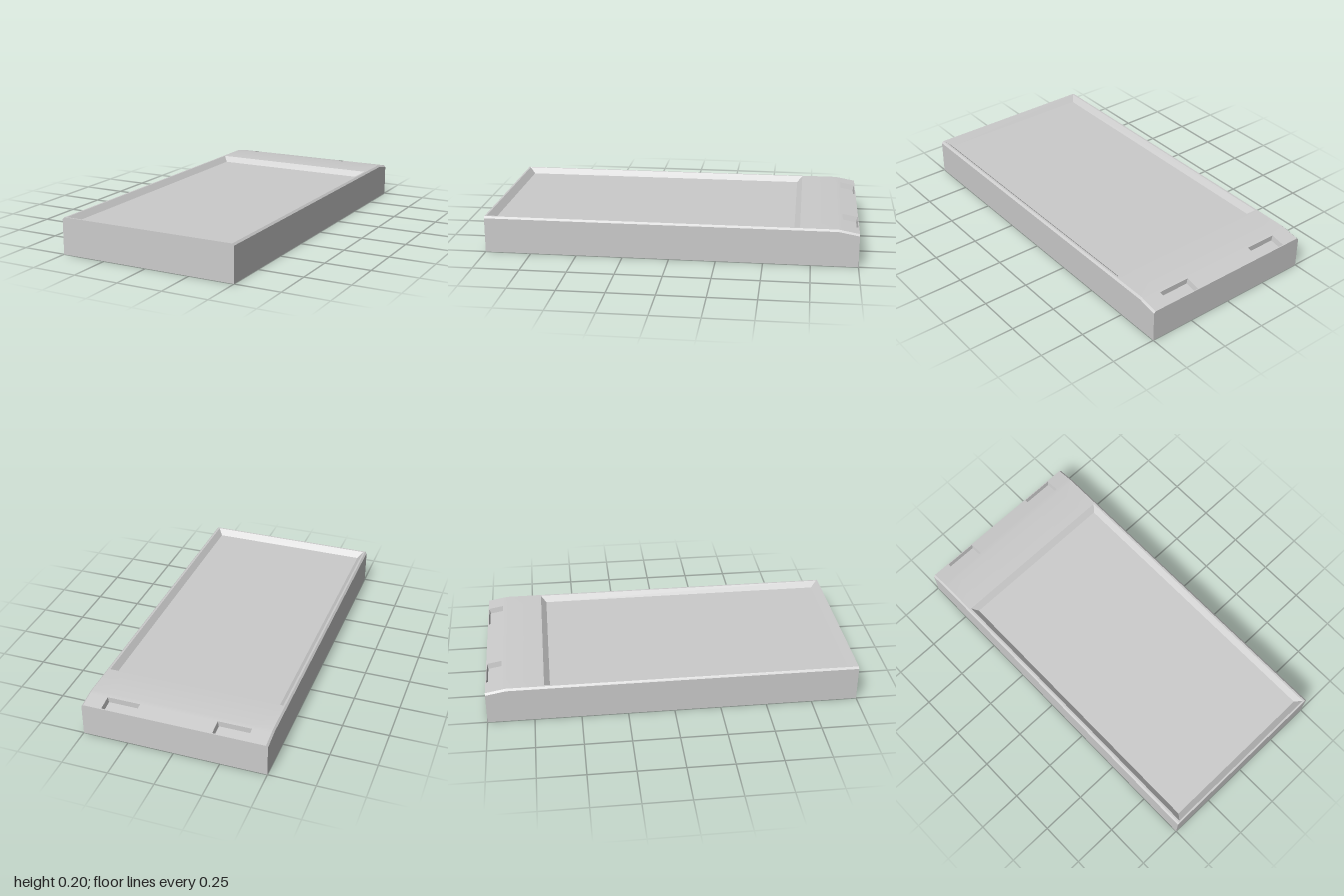
import * as THREE from 'three';
import { toCreasedNormals } from 'three/addons/utils/BufferGeometryUtils.js';

const TOP = 0.2, CHAMFER = 0.01, BEND = -0.89, DECK_END = -0.69;

// height of the upper surface: flat, then sloping down to the back edge
const topAt = z => (z < BEND ? TOP - 0.02 * (BEND - z) / (1 + BEND) : TOP);

// rectangle corners, counter-clockwise seen from above
const rect = (x0, x1, z0, z1, y) =>
  [[x0, z1], [x1, z1], [x1, z0], [x0, z0]].map(([x, z]) => [x, y(z), z]);

// a polygon becomes a fan of triangles
const fan = p => p.slice(2).flatMap((_, i) => [p[0], p[i + 1], p[i + 2]]);

// four walls between an upper and a lower rectangle, facing inwards, plus the floor
const pocket = (upper, lower) => [
  ...upper.map((_, i) => {
    const j = (i + 1) % 4;
    return [upper[i], upper[j], lower[j], lower[i]];
  }),
  lower,
];

export function createModel() {
  const group = new THREE.Group();
  const material = new THREE.MeshStandardMaterial({ color: 0xcccccc });

  function add(name, polygons) {
    const geometry = new THREE.BufferGeometry();
    const positions = polygons.flatMap(p => fan(p).flat());
    geometry.setAttribute('position', new THREE.Float32BufferAttribute(positions, 3));
    const mesh = new THREE.Mesh(toCreasedNormals(geometry, 0.45), material);
    mesh.name = name;
    group.add(mesh);
  }

  // outer casing: chamfered cross-sections joined along z
  const section = z => {
    const h = topAt(z), w = 0.5 - CHAMFER;
    return [[-0.5, 0], [0.5, 0], [0.5, h - CHAMFER], [w, h], [-w, h], [-0.5, h - CHAMFER]]
      .map(([x, y]) => [x, y, z]);
  };
  const sections = [-1, BEND, 1].map(section);
  const casing = [sections[2], [...sections[0]].reverse()];
  for (let s = 0; s < 2; s++) {
    const back = sections[s], front = sections[s + 1];
    for (let i = 0; i < 6; i++) {
      if (i === 3) continue; // the top is made of the parts below
      const j = (i + 1) % 6;
      casing.push([front[i], back[i], back[j], front[j]]);
    }
  }
  add('casing', casing);

  // rear deck: grid of panels with two slot openings left out
  const xs = [-0.49, -0.39, -0.21, 0.21, 0.39, 0.49];
  const zs = [-1, -0.995, -0.915, BEND, DECK_END];
  const deck = [];
  for (let i = 0; i < xs.length - 1; i++) {
    for (let k = 0; k < zs.length - 1; k++) {
      if (k === 1 && (i === 1 || i === 3)) continue;
      deck.push(rect(xs[i], xs[i + 1], zs[k], zs[k + 1], topAt));
    }
  }
  add('rearDeck', deck);

  // slots sunk into the deck
  [['rightSlot', -0.3], ['leftSlot', 0.3]].forEach(([name, x]) => {
    const mouth = rect(x - 0.09, x + 0.09, -0.995, -0.915, topAt);
    const floor = rect(x - 0.085, x + 0.085, -0.99, -0.915, z => topAt(z) - 0.03);
    add(name, pocket(mouth, floor));
  });

  // narrow rim around the recess
  const flat = () => TOP;
  add('rim', [
    rect(-0.49, -0.48, DECK_END, 1, flat),
    rect(0.48, 0.49, DECK_END, 1, flat),
    rect(-0.48, 0.48, 0.99, 1, flat),
  ]);

  // shallow recess with sloping walls
  add('recess', pocket(
    rect(-0.48, 0.48, DECK_END, 0.99, flat),
    rect(-0.452, 0.452, -0.66, 0.957, () => TOP - 0.03),
  ));

  return group;
}
